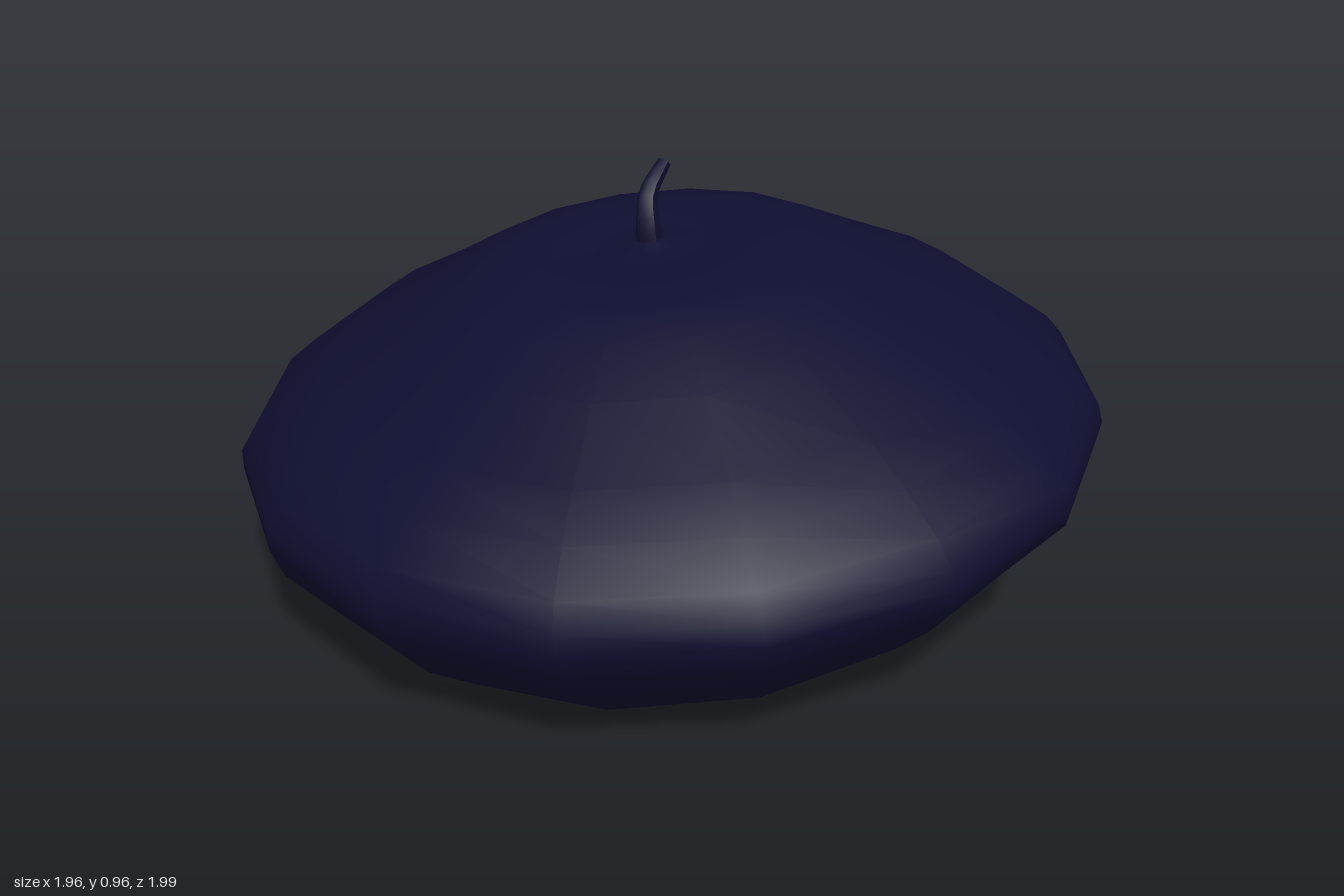
import * as THREE from 'three';
import { mergeVertices } from 'three/addons/utils/BufferGeometryUtils.js';

const SIDES = 16;

// Weld the seam and recompute smooth normals
function smooth(geometry) {
  geometry.deleteAttribute('uv');
  geometry.deleteAttribute('normal');
  const welded = mergeVertices(geometry, 1e-4);
  welded.computeVertexNormals();
  return welded;
}

// Sagging cap: a lathe whose crown leans slightly to one side
function capGeometry() {
  const profile = [
    [0.787, 0], [0.9, 0.11], [0.982, 0.21], [0.998, 0.265], [0.992, 0.31],
    [0.955, 0.36], [0.87, 0.425], [0.77, 0.487], [0.58, 0.578], [0.45, 0.645],
    [0.34, 0.675], [0.25, 0.683], [0.13, 0.675], [0.07, 0.678], [0.04, 0.695], [0, 0.7],
  ].map(([r, y]) => new THREE.Vector2(r, y));
  const geometry = new THREE.LatheGeometry(profile, SIDES, 0.04);
  const pos = geometry.attributes.position;
  for (let i = 0; i < pos.count; i++) {
    const x = pos.getX(i), y = pos.getY(i), z = pos.getZ(i);
    const w = THREE.MathUtils.smoothstep(y, 0.08, 0.3);
    const r = Math.hypot(x, z);
    pos.setX(i, x * (1 - 0.015 * w) - 0.015 * w * r);
    pos.setY(i, y - 0.05 * w * x * r);
  }
  return smooth(geometry);
}

// Stem: a tapered cylinder bent along a curve
function stemGeometry() {
  const curve = new THREE.CatmullRomCurve3([
    new THREE.Vector3(-0.045, 0.76, 0.005),
    new THREE.Vector3(-0.05, 0.83, 0),
    new THREE.Vector3(-0.038, 0.89, -0.02),
    new THREE.Vector3(0.022, 0.945, -0.055),
  ]);
  const geometry = new THREE.CylinderGeometry(0.017, 0.034, 1, 8, 8);
  const pos = geometry.attributes.position;
  const up = new THREE.Vector3(0, 1, 0);
  const p = new THREE.Vector3(), q = new THREE.Quaternion();
  for (let i = 0; i < pos.count; i++) {
    const t = THREE.MathUtils.clamp(pos.getY(i) + 0.5, 0, 1);
    p.set(pos.getX(i), 0, pos.getZ(i));
    q.setFromUnitVectors(up, curve.getTangent(t));
    p.applyQuaternion(q).add(curve.getPoint(t));
    pos.setXYZ(i, p.x, p.y, p.z);
  }
  geometry.computeVertexNormals();
  return geometry;
}

export function createModel() {
  const group = new THREE.Group();
  group.name = 'beret';

  const navyFelt = new THREE.MeshStandardMaterial({ color: 0x0e0e30, side: THREE.DoubleSide });
  navyFelt.name = 'navy felt';

  // Open-bottomed cap, worn at a tilt
  const cap = new THREE.Mesh(capGeometry(), navyFelt);
  cap.name = 'cap';
  cap.position.set(0.05, 0.107, 0);
  cap.rotation.z = 0.134;
  group.add(cap);

  // Little curved stem on the crown
  const stem = new THREE.Mesh(stemGeometry(), navyFelt);
  stem.name = 'stem';
  group.add(stem);

  return group;
}
